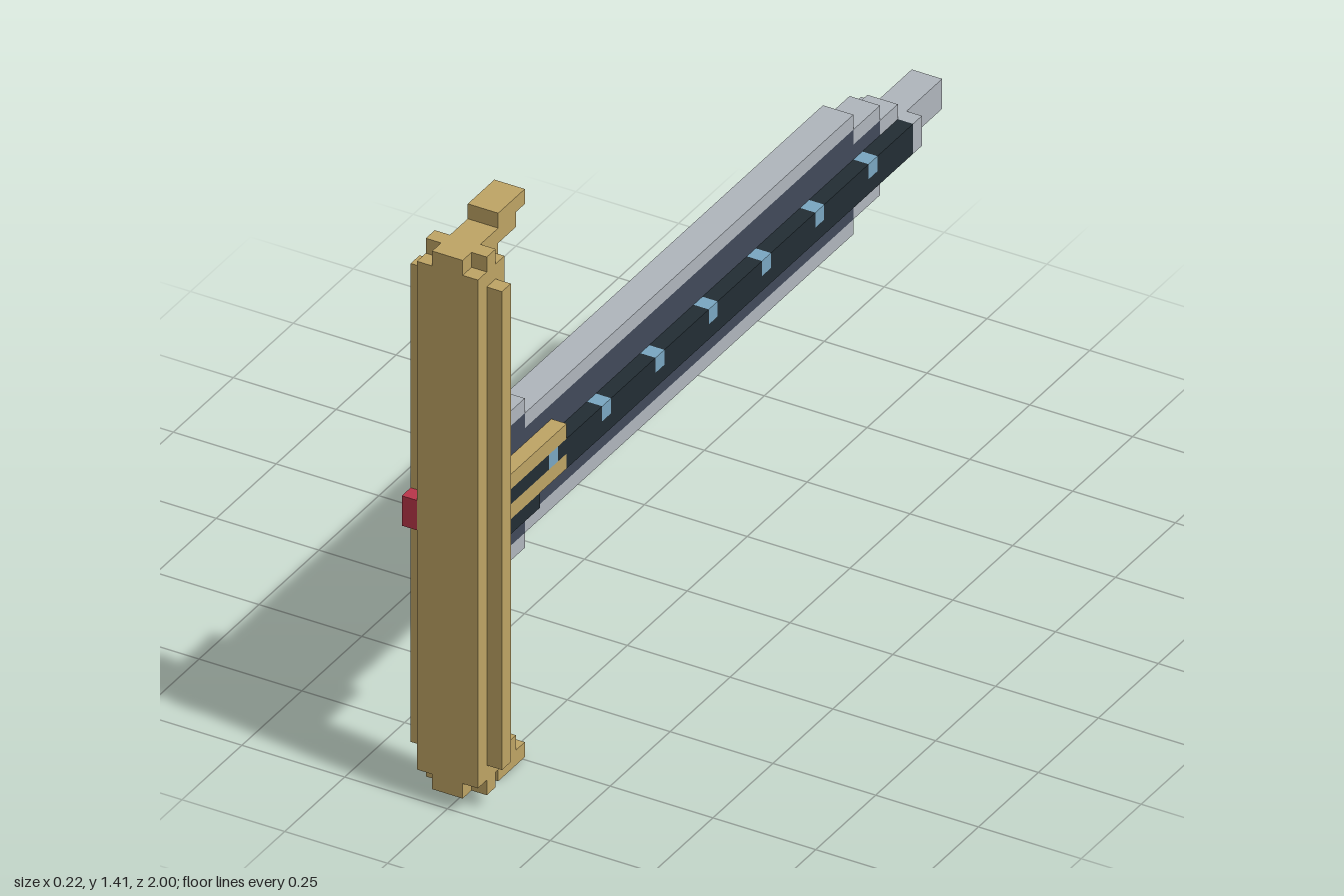
import * as THREE from 'three';

// All parts sit on a grid of small cubes, 54 cubes long
const U = 2 / 54;

export function createModel() {
  const model = new THREE.Group();
  model.name = 'sword';
  const mat = (name, color) => {
    const m = new THREE.MeshStandardMaterial({ color });
    m.name = name;
    return m;
  };
  const gold = mat('gold', 0xbfa565);
  const steel = mat('steel', 0xb0b6bd);
  const slate = mat('slate', 0x414a5a);
  const dark = mat('dark', 0x222d34);
  const blue = mat('blue', 0x7aa7c2);
  const red = mat('red', 0xba364a);

  // Box between two grid corners
  function box(name, material, [x0, x1], [y0, y1], [z0, z1]) {
    const mesh = new THREE.Mesh(
      new THREE.BoxGeometry((x1 - x0) * U, (y1 - y0) * U, (z1 - z0) * U), material);
    mesh.position.set((x0 + x1) / 2 * U, (y0 + y1) / 2 * U, (z0 + z1) / 2 * U);
    mesh.name = name;
    model.add(mesh);
  }
  // The same box twice, mirrored about the middle height
  function boxUpDown(name, material, x, [y0, y1], z) {
    box(name + 'Upper', material, x, [y0, y1], z);
    box(name + 'Lower', material, x, [38 - y1, 38 - y0], z);
  }

  // Crossguard body with stepped ends and hooked prongs
  box('guardBody', gold, [-2, 2], [2, 36], [24, 27]);
  boxUpDown('guardEnd', gold, [-1, 1], [36, 37], [24, 27]);
  boxUpDown('guardEndRib', gold, [-2, 2], [36, 37], [25, 26]);
  boxUpDown('prongRoot', gold, [-1, 1], [35, 36], [23, 24]);
  boxUpDown('prongArm', gold, [-1, 1], [36, 37], [21, 24]);
  boxUpDown('prongTip', gold, [-1, 1], [37, 38], [20, 23]);

  // Side ribs, the right one broken by the gem
  box('guardRibLeft', gold, [2, 3], [3, 35], [25, 26]);
  boxUpDown('guardRibRight', gold, [-3, -2], [20, 35], [25, 26]);
  box('gemUpper', red, [-3, -2], [19, 20], [24, 27]);
  box('gemLower', red, [-3, -2], [18, 19], [25, 27]);
  box('gemClasp', steel, [-3, -2], [18, 19], [24, 25]);

  // Blade: slate core with steel edges, stepping in toward the tip
  const steps = [[20, 24, 4], [-17, 20, 3], [-20, -17, 2]];
  for (const [z0, z1, h] of steps) {
    box('bladeCore', slate, [-1, 1], [19 - h, 19 + h], [z0, z1]);
    boxUpDown('bladeEdge', steel, [-1, 1], [19 + h, 20 + h], [z0, z1]);
  }
  box('bladeEnd', steel, [-1, 1], [17, 21], [-22, -20]);
  box('tipCollar', steel, [-2, 2], [18, 20], [-23, -22]);
  box('bladeTip', steel, [-1, 1], [18, 20], [-27, -23]);

  // Raised ridge on both sides, with lights along its upper row
  for (const x of [[1, 2], [-2, -1]]) {
    box('ridgeLower', dark, x, [18, 19], [-22, 17]);
    let end = 24;
    for (let z = 18; z >= -18; z -= 6) {
      box('ridgeUpper', dark, x, [19, 20], [z + 1, end]);
      box('light', blue, x, [19, 20], [z, z + 1]);
      end = z;
    }
    box('ridgeUpper', dark, x, [19, 20], [-22, end]);

    // Gold bars and dark block where the ridge meets the guard
    box('barUpper', gold, x, [20, 21], [17, 24]);
    box('barLower', gold, x, [18, 19], [17, 24]);
    box('rootBlock', dark, x, [17, 18], [20, 24]);
  }
  return model;
}
